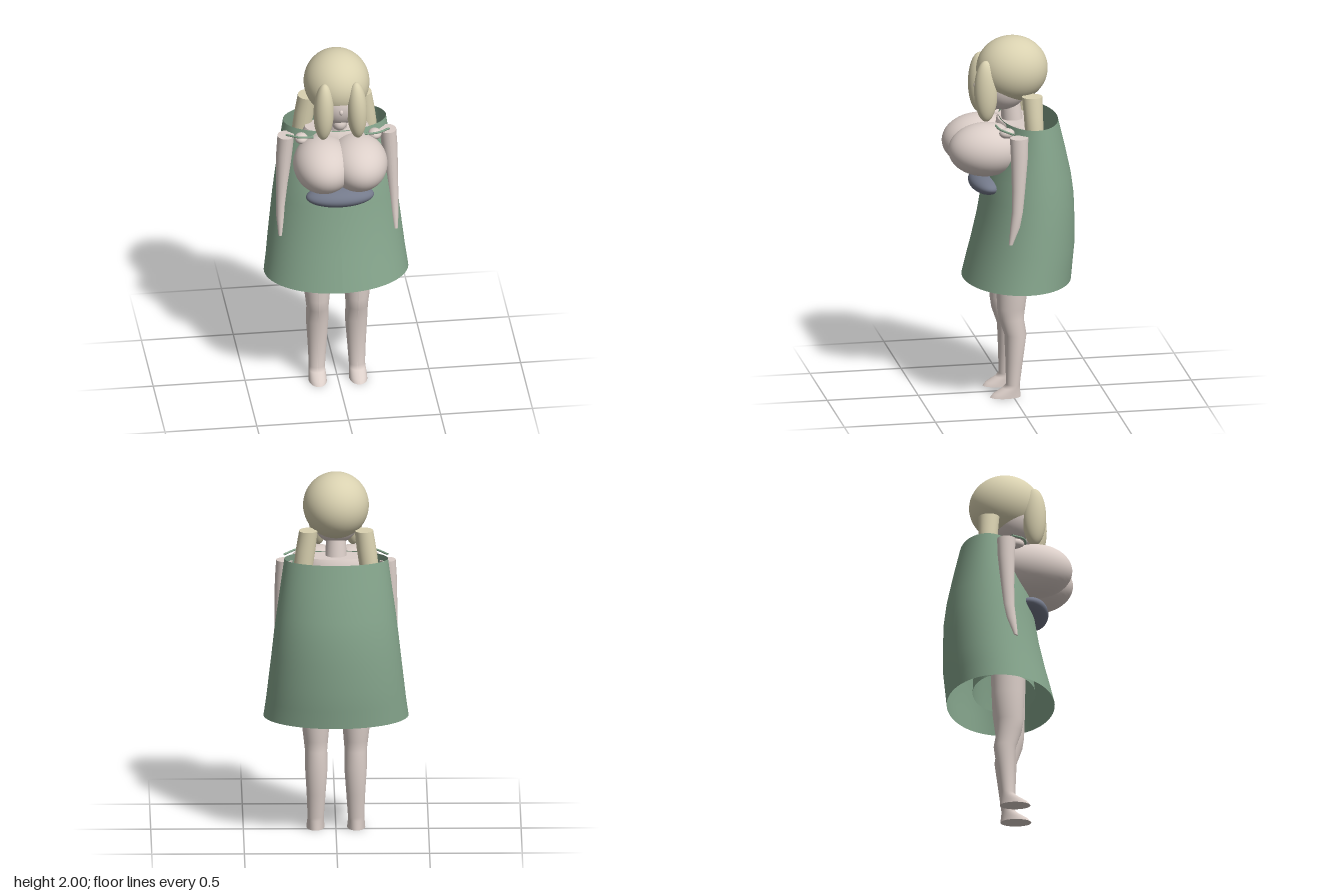
import * as THREE from 'three';

const mat = (name, color, side = THREE.FrontSide) => {
  const m = new THREE.MeshStandardMaterial({ color, side });
  m.name = name;
  return m;
};

// Cross-sections from top to bottom: [y, centreX, centreZ, radiusX, radiusZ]
function loft(rings, open = false, sides = 40) {
  const n = rings.length - 1;
  const g = new THREE.CylinderGeometry(1, 1, 1, sides, n, open);
  const p = g.attributes.position;
  for (let i = 0; i < p.count; i++) {
    const [y, cx, cz, rx, rz] = rings[Math.round((0.5 - p.getY(i)) * n)];
    p.setXYZ(i, cx + p.getX(i) * rx, y, cz + p.getZ(i) * rz);
  }
  g.computeVertexNormals();
  return g;
}

export function createModel() {
  const model = new THREE.Group();
  model.name = 'cloakedFigure';
  const skin = mat('skin', 0xdccfc9);
  const hair = mat('hair', 0xd9d1b0);
  const green = mat('cloakGreen', 0x86a68d, THREE.DoubleSide);
  const slate = mat('slate', 0x747a8b);

  const add = (name, geometry, material) => {
    const mesh = new THREE.Mesh(geometry, material);
    mesh.name = name;
    model.add(mesh);
    return mesh;
  };
  const ellipsoid = (name, [x, y, z], [rx, ry, rz], material) => {
    const mesh = add(name, new THREE.SphereGeometry(1, 40, 28), material);
    mesh.position.set(x, y, z);
    mesh.scale.set(rx, ry, rz);
    return mesh;
  };

  // Head
  ellipsoid('hairCap', [0, 1.82, -0.015], [0.178, 0.18, 0.194], hair);
  ellipsoid('face', [0, 1.74, 0.035], [0.13, 0.145, 0.14], skin);
  ellipsoid('chin', [0, 1.63, 0.1], [0.042, 0.045, 0.05], skin);
  ellipsoid('nose', [0, 1.735, 0.185], [0.011, 0.015, 0.011], skin);

  // Torso and inner skirt, mostly covered by the cloak
  add('neck', loft([[1.68, 0, 0, 0.05, 0.05], [1.5, 0, -0.02, 0.06, 0.06]]), skin);
  add('torso', loft([
    [1.54, 0, -0.03, 0.17, 0.09], [1.48, 0, -0.03, 0.2, 0.12],
    [1.3, 0, -0.03, 0.17, 0.12], [1.15, 0, -0.03, 0.15, 0.11], [0.9, 0, -0.02, 0.2, 0.13],
  ]), skin);
  add('innerSkirt', loft([
    [1.2, 0, -0.03, 0.16, 0.12], [0.95, 0, -0.03, 0.22, 0.15], [0.72, 0, -0.02, 0.25, 0.17],
  ], true), green);

  // Cloak, open at the collar and the hem
  add('cloak', loft([
    [1.545, 0, -0.105, 0.28, 0.155],
    [1.4, 0, -0.105, 0.3, 0.19],
    [1.24, 0, -0.1, 0.322, 0.23],
    [1.12, 0, -0.098, 0.337, 0.248],
    [1.0, 0, -0.09, 0.35, 0.26],
    [0.85, 0, -0.073, 0.367, 0.277],
    [0.75, 0, -0.055, 0.378, 0.285],
    [0.65, 0, -0.038, 0.392, 0.292],
  ], true, 64), green);

  // Belt pad
  ellipsoid('beltPad', [0, 1.19, 0.13], [0.185, 0.055, 0.09], slate);

  for (const s of [1, -1]) {
    const side = s > 0 ? 'left' : 'right';

    // Front locks and tails of hair
    const lock = ellipsoid(side + 'FrontLock', [s * 0.09, 1.725, 0.145], [0.055, 0.17, 0.064], hair);
    lock.rotation.z = s * 0.03;
    add(side + 'HairTail', loft([
      [1.7, s * 0.15, -0.098, 0.05, 0.056], [1.6, s * 0.164, -0.102, 0.053, 0.052],
      [1.5, s * 0.178, -0.105, 0.052, 0.05], [1.32, s * 0.19, -0.11, 0.04, 0.04],
    ]), hair);

    // Chest, shoulders and cloak ties
    ellipsoid(side + 'Chest', [s * 0.095, 1.4, 0.145], [0.16, 0.146, 0.206], skin);
    ellipsoid(side + 'Shoulder', [s * 0.2, 1.515, 0.05], [0.036, 0.028, 0.042], skin);
    add(side + 'CloakTie', new THREE.TubeGeometry(new THREE.CatmullRomCurve3([
      new THREE.Vector3(s * 0.28, 1.53, 0.03), new THREE.Vector3(s * 0.21, 1.542, 0.09),
      new THREE.Vector3(s * 0.14, 1.545, 0.1),
    ]), 16, 0.006, 8), green);

    // Arms
    add(side + 'Arm', loft([
      [1.51, s * 0.278, -0.002, 0.045, 0.05],
      [1.4, s * 0.287, -0.002, 0.043, 0.046],
      [1.22, s * 0.299, 0.005, 0.033, 0.036],
      [1.1, s * 0.306, 0.012, 0.027, 0.031],
      [1.02, s * 0.31, 0.024, 0.023, 0.028],
      [0.92, s * 0.314, 0.05, 0.011, 0.011],
    ]), skin);

    // Legs with feet
    add(side + 'Leg', loft([
      [0.98, s * 0.11, 0, 0.085, 0.095],
      [0.65, s * 0.11, 0.003, 0.081, 0.088],
      [0.5, s * 0.108, 0.01, 0.066, 0.076],
      [0.44, s * 0.107, 0.009, 0.06, 0.068],
      [0.35, s * 0.106, -0.014, 0.061, 0.06],
      [0.2, s * 0.107, -0.007, 0.051, 0.047],
      [0.07, s * 0.109, 0, 0.044, 0.037],
      [0.05, s * 0.11, 0.01, 0.045, 0.047],
      [0.02, s * 0.11, 0.034, 0.048, 0.074],
      [0, s * 0.11, 0.042, 0.049, 0.083],
    ]), skin);
  }
  return model;
}
